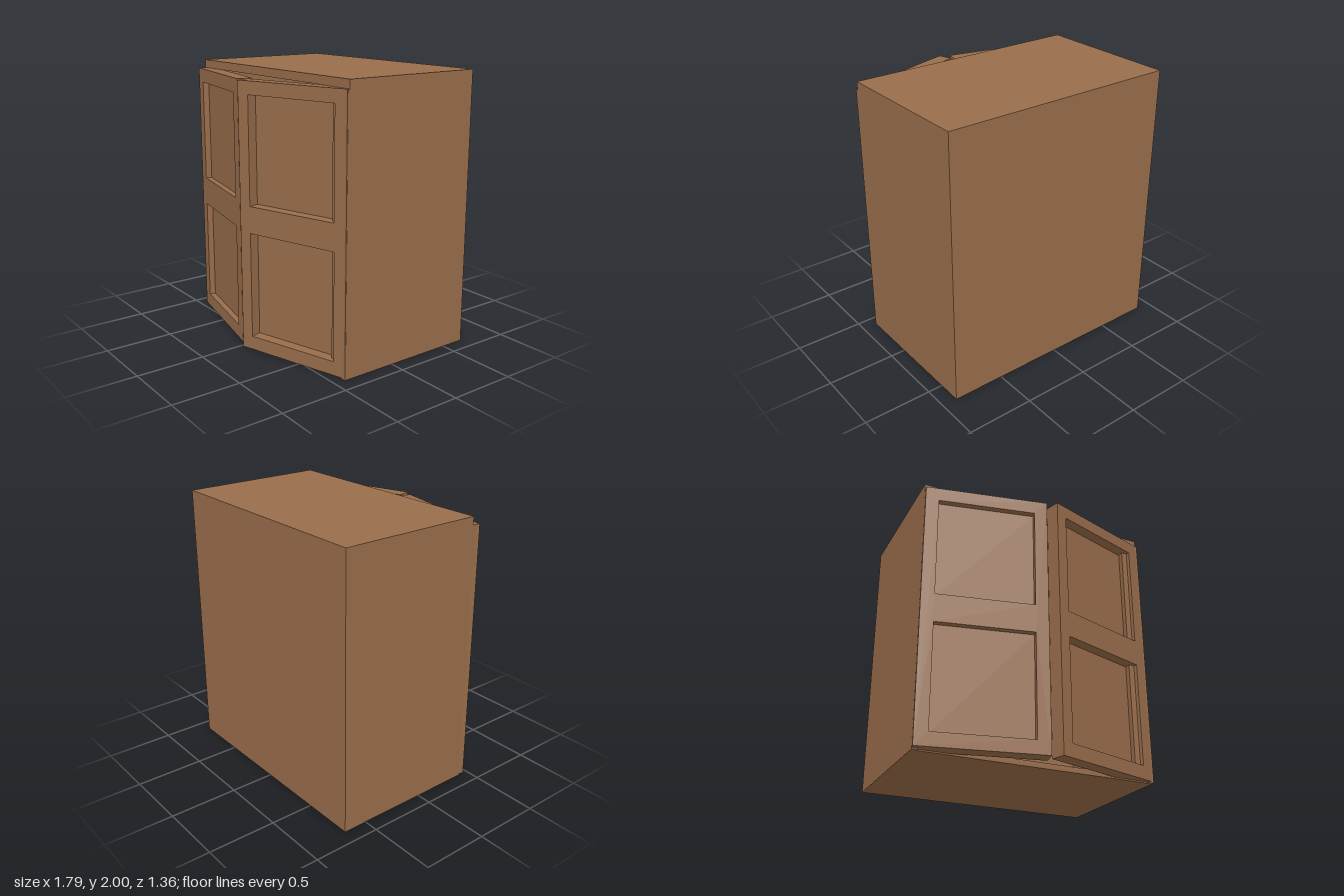
import * as THREE from 'three';

export function createModel() {
  const wood = new THREE.MeshStandardMaterial({ color: 0x996d4b });
  wood.name = 'brown wood';
  const model = new THREE.Group();
  model.name = 'cabinet';

  // Box given by its minimum and maximum corners
  const box = (parent, name, [x0, y0, z0], [x1, y1, z1]) => {
    const mesh = new THREE.Mesh(new THREE.BoxGeometry(x1 - x0, y1 - y0, z1 - z0), wood);
    mesh.position.set((x0 + x1) / 2, (y0 + y1) / 2, (z0 + z1) / 2);
    mesh.name = name;
    parent.add(mesh);
  };

  // Hollow carcass, open at the front
  const W = 0.89, back = -0.68, front = 0.4, t = 0.04, topY = 1.94;
  box(model, 'topBoard', [-W, topY, back], [W, 2, front]);
  box(model, 'bottomBoard', [-W + t, 0, back + t], [W - t, t, front]);
  box(model, 'backPanel', [-W + t, 0, back], [W - t, topY, back + t]);
  box(model, 'leftSide', [W - t, 0, back], [W, topY, 0.42]);
  box(model, 'rightSide', [-W, 0, back], [-W + t, topY, 0.42]);

  // Face-frame stiles behind the hinges
  box(model, 'leftStile', [0.746, t, 0.34], [W - t, topY, 0.42]);
  box(model, 'rightStile', [-W + t, t, 0.34], [-0.746, topY, 0.42]);

  // Door: a frame with two openings, closed by recessed panels; front face at local z = 0
  const addDoor = (name, { x, z, angle, width, thick, depth, panel, rows }) => {
    const door = new THREE.Group();
    door.name = name;
    const rect = (Path, x0, y0, x1, y1) => new Path([
      new THREE.Vector2(x0, y0), new THREE.Vector2(x1, y0),
      new THREE.Vector2(x1, y1), new THREE.Vector2(x0, y1),
    ]);
    const shape = rect(THREE.Shape, 0, 0.01, width, topY);
    for (const [y0, y1] of rows) {
      shape.holes.push(rect(THREE.Path, panel[0], y0, panel[1], y1));
      box(door, 'doorPanel', [panel[0], y0, -thick + 0.005], [panel[1], y1, -depth]);
    }
    const geometry = new THREE.ExtrudeGeometry(shape, { depth: thick, bevelEnabled: false });
    geometry.translate(0, 0, -thick);
    const frame = new THREE.Mesh(geometry, wood);
    frame.name = 'doorFrame';
    door.add(frame);
    door.position.set(x, 0, z);
    door.rotation.y = THREE.MathUtils.degToRad(angle);
    model.add(door);
  };

  // Both doors stand slightly ajar
  addDoor('rightDoor', {
    x: -0.897, z: 0.455, angle: -12.1, width: 0.887, thick: 0.11, depth: 0.045,
    panel: [0.095, 0.793], rows: [[0.11, 0.875], [1.085, 1.838]],
  });
  addDoor('leftDoor', {
    x: 0.036, z: 0.68, angle: 17.2, width: 0.895, thick: 0.106, depth: 0.08,
    panel: [0.088, 0.796], rows: [[0.11, 0.88], [1.075, 1.846]],
  });

  return model;
}
